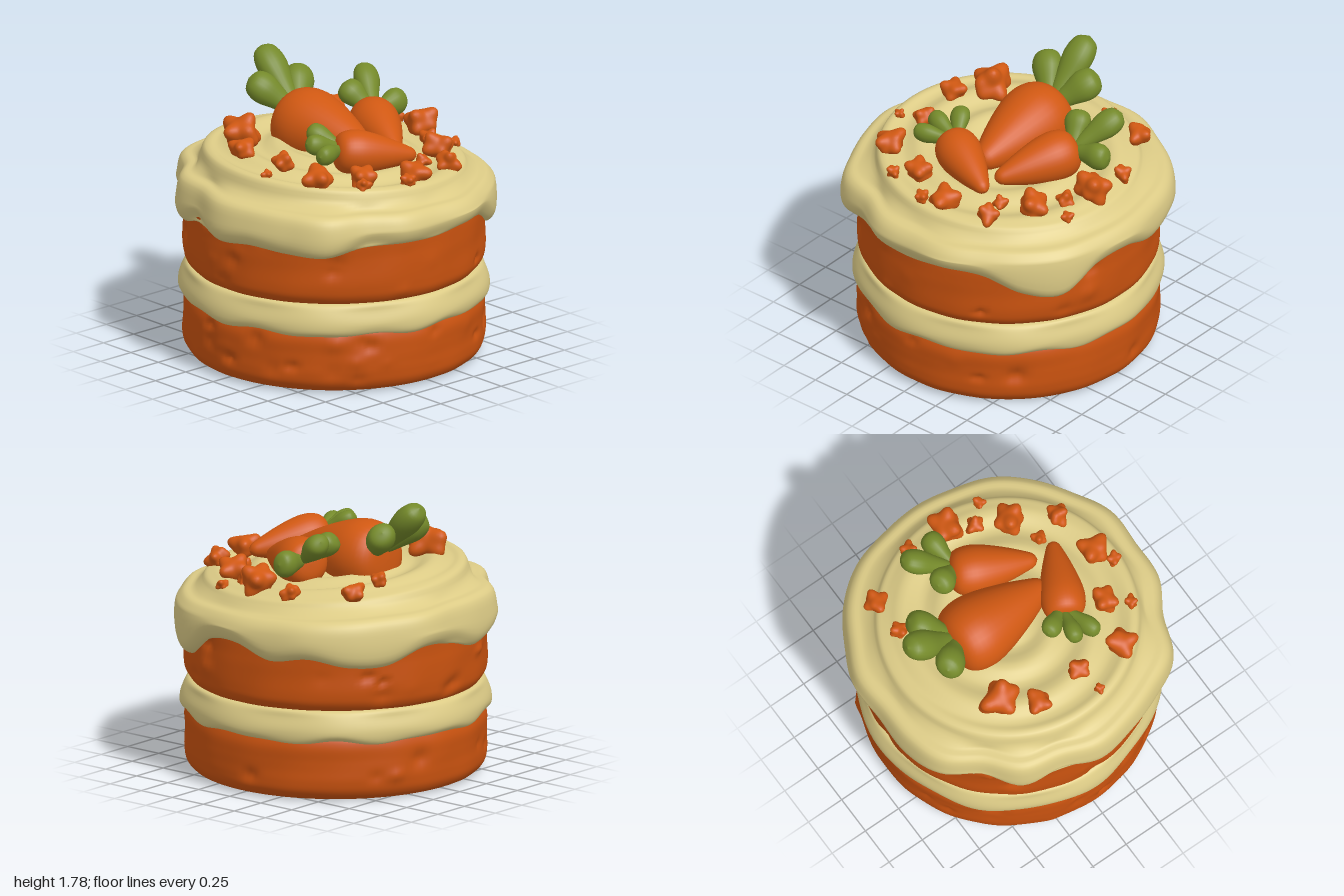
import * as THREE from 'three';
import { mergeVertices } from 'three/addons/utils/BufferGeometryUtils.js';

const mat = (name, color, side = THREE.FrontSide) => {
  const m = new THREE.MeshStandardMaterial({ color, side });
  m.name = name;
  return m;
};
const V = (x, y, z) => new THREE.Vector3(x, y, z);
const RAD = Math.PI / 180;

let seed = 7;
const rand = () => (seed = (seed * 16807) % 2147483647) / 2147483647;

// Smooth lookup in a table of values spaced evenly round the circle
function around(table, a) {
  const n = table.length;
  const t = (((a / (2 * Math.PI)) % 1) + 1) % 1 * n;
  const i = Math.floor(t), f = t - i;
  const p = k => table[(i + k + n) % n];
  return p(0) + 0.5 * f * (p(1) - p(-1) + f * (2 * p(-1) - 5 * p(0) + 4 * p(1) - p(2)
    + f * (3 * (p(0) - p(1)) + p(2) - p(-1))));
}

// Closed surface of revolution whose profile may change with the angle.
// profile(a) lists [radius, height] points; adjust(r, y, a) may move the radius.
function ringSurface(rows, cols, profile, adjust = r => r) {
  const pos = [], idx = [];
  for (let j = 0; j < cols; j++) {
    const a = j / cols * 2 * Math.PI;
    const curve = new THREE.CatmullRomCurve3(profile(a).map(([r, y]) => V(r, y, 0)));
    for (let i = 0; i <= rows; i++) {
      const p = curve.getPoint(i / rows);
      const r = Math.max(0, adjust(p.x, p.y, a));
      pos.push(r * Math.sin(a), p.y, r * Math.cos(a));
      if (i < rows) {
        const k = j * (rows + 1) + i, m = ((j + 1) % cols) * (rows + 1) + i;
        idx.push(k, m, m + 1, k, m + 1, k + 1);
      }
    }
  }
  const g = new THREE.BufferGeometry();
  g.setAttribute('position', new THREE.Float32BufferAttribute(pos, 3));
  g.setIndex(idx);
  g.computeVertexNormals();
  return g;
}

// Sponge layer with rounded rims and scattered pits and crumbs
function spongeLayer(y0, y1) {
  const spots = Array.from({ length: 34 }, () => ({
    a: rand() * 2 * Math.PI, y: y0 + 0.07 + rand() * (y1 - y0 - 0.14),
    amp: (rand() - 0.6) * 0.05, w: 0.025 + rand() * 0.03,
  }));
  const h = y1 - y0;
  const profile = () => [[0, y0], [0.5, y0], [0.84, y0], [0.885, y0 + 0.015], [0.918, y0 + 0.06],
    [0.928, y0 + 0.12], [0.928, y0 + h * 0.45], [0.928, y0 + h * 0.6], [0.926, y1 - 0.08],
    [0.9, y1 - 0.02], [0.84, y1], [0, y1]];
  return ringSurface(66, 150, profile, (r, y, a) => {
    if (r < 0.88) return r;
    let out = r + 0.004 * Math.sin(7 * a + 9 * y) * Math.sin(11 * a - 14 * y);
    for (const s of spots) {
      const da = Math.atan2(Math.sin(a - s.a), Math.cos(a - s.a)) * 0.93, dy = y - s.y;
      out += s.amp * Math.exp(-(da * da + dy * dy) / (s.w * s.w));
    }
    return out;
  });
}

// Icing outline and drip heights, every 15 degrees from the front towards the left side
const icingRadius = [0.97, 1.0, 0.98, 0.99, 1.0, 0.98, 0.985, 0.99, 1.02, 1.02, 1.0, 1.01,
  0.97, 0.99, 1.01, 0.95, 0.99, 0.95, 0.995, 0.99, 1.0, 1.03, 0.96, 0.99];
const dripHeight = [0.95, 0.97, 0.95, 0.83, 0.79, 0.94, 0.96, 0.88, 0.91, 0.86, 0.86, 0.95,
  0.93, 0.87, 0.93, 0.96, 0.89, 0.95, 0.9, 0.92, 0.9, 0.89, 0.95, 0.95];
const tilt = a => Math.cos(a - 225 * RAD);

// Height of the swirled icing top
function icingTop(r, a) {
  const swirl = Math.cos(2 * Math.PI * r / 0.25 + a);
  return 1.285 - 0.02 * r + 0.055 * tilt(a) * Math.min(1, r / 0.7)
    + 0.018 * swirl * Math.min(1, r / 0.2);
}

function icingProfile(a) {
  const R = around(icingRadius, a), d = around(dripHeight, a), s = 1.14 + 0.03 * (tilt(a) + 0.5);
  const pts = [[0.88, d + 0.03], [0.93, d - 0.005], [R - 0.025, d + 0.02], [R, d + 0.08],
    [R - 0.005, 1.06], [R - 0.025, s - 0.035], [R * 0.94, s - 0.004], [R * 0.885, s + 0.005],
    [0.825, s + 0.05], [0.8, icingTop(0.76, a) - 0.015]];
  for (let i = 19; i >= 0; i--) pts.push([i * 0.04, icingTop(i * 0.04, a)]);
  return pts;
}

// Cream between the sponges
function fillingProfile(a) {
  const w = 0.01 * Math.sin(9 * a) + 0.006 * Math.sin(14 * a + 1);
  const R = 0.945 + 0.008 * Math.sin(8 * a + 2);
  return [[0.86, 0.39 + w], [0.92, 0.37 + w], [R, 0.4 + w], [R + 0.003, 0.45], [R - 0.02, 0.52],
    [0.905, 0.562], [0.86, 0.572]];
}

// Turned shape of unit length along y
const lathe = (pts, n) => new THREE.LatheGeometry(
  new THREE.SplineCurve(pts.map(p => new THREE.Vector2(...p))).getPoints(28)
    .map(p => new THREE.Vector2(Math.max(0, p.x), p.y)), n);

// Mesh stretched from one point to another
function span(name, geo, material, from, to, width, depth = width) {
  const m = new THREE.Mesh(geo, material);
  const dir = to.clone().sub(from);
  m.name = name;
  m.position.copy(from);
  m.scale.set(width, dir.length(), depth);
  m.quaternion.setFromUnitVectors(V(0, 1, 0), dir.normalize());
  return m;
}

// Rough cube with knobbly corners
function chunkGeometry() {
  let g = new THREE.IcosahedronGeometry(1, 8);
  g.deleteAttribute('normal');
  g.deleteAttribute('uv');
  g = mergeVertices(g, 1e-4);
  const p = g.attributes.position, v = V(0, 0, 0);
  const knobs = Array.from({ length: 8 }, (_, i) => ({
    dir: V(i & 1 ? 1 : -1, i & 2 ? 1 : -1, i & 4 ? 1 : -1)
      .add(V(rand() - 0.5, rand() - 0.5, rand() - 0.5)).normalize(),
    h: 0.2 + 0.35 * rand(),
  }));
  for (let i = 0; i < p.count; i++) {
    v.fromBufferAttribute(p, i).normalize();
    let r = 0.66;
    for (const k of knobs) r += k.h * Math.exp(-(1 - v.dot(k.dir)) * 9);
    v.multiplyScalar(r);
    p.setXYZ(i, v.x, v.y, v.z);
  }
  g.computeVertexNormals();
  return g;
}

export function createModel() {
  const cake = new THREE.Group();
  cake.name = 'carrotCake';
  const sponge = mat('sponge orange', 0xc9520f);
  const cream = mat('cream icing', 0xdccb86, THREE.DoubleSide);
  const carrot = mat('carrot orange', 0xd05812);
  const leaf = mat('leaf green', 0x74892a);
  const add = (name, geo, material) => {
    const m = new THREE.Mesh(geo, material);
    m.name = name;
    cake.add(m);
    return m;
  };

  // Cake body
  add('lowerSponge', spongeLayer(0, 0.42), sponge);
  add('upperSponge', spongeLayer(0.555, 1.08), sponge);
  add('creamFilling', ringSurface(24, 140, fillingProfile), cream);
  add('icing', ringSurface(87, 168, icingProfile), cream);

  // Carrots: head, tip, thickness, leaf base, leaf tips, leaf width
  const carrotGeo = lathe([[0, 0], [0.55, 0.015], [0.88, 0.09], [1, 0.24], [0.92, 0.42],
    [0.68, 0.66], [0.42, 0.86], [0.25, 0.96], [0, 1]], 32);
  const leafGeo = lathe([[0, 0], [0.4, 0.1], [0.72, 0.4], [1, 0.7], [0.75, 0.92], [0, 1]], 20);
  const carrots = [
    ['large', V(0.01, 1.37, -0.43), V(0.02, 1.33, 0.31), 0.235, V(0.03, 1.41, -0.36),
      [V(0.05, 1.755, -0.72), V(-0.18, 1.63, -0.58), V(0.24, 1.61, -0.58)], 0.1],
    ['left', V(0.41, 1.375, -0.15), V(0.19, 1.31, 0.36), 0.155, V(0.42, 1.39, -0.1),
      [V(0.33, 1.55, -0.29), V(0.59, 1.59, -0.38), V(0.69, 1.42, -0.13)], 0.085],
    ['right', V(-0.24, 1.38, 0.27), V(0.23, 1.31, 0.5), 0.14, V(-0.18, 1.39, 0.28),
      [V(-0.3, 1.5, 0.09), V(-0.43, 1.46, 0.22), V(-0.45, 1.41, 0.37)], 0.065],
  ];
  for (const [name, head, tip, w, base, tips, lw] of carrots) {
    const g = new THREE.Group();
    g.name = name + 'Carrot';
    g.add(span('carrotRoot', carrotGeo, carrot, head, tip, w));
    for (const t of tips) g.add(span('carrotLeaf', leafGeo, leaf, base, t, lw, lw * 0.85));
    cake.add(g);
  }

  // Chopped carrot scattered on the icing: x, z, size
  const chunks = [[-0.44, -0.37, 0.125], [-0.59, -0.19, 0.085], [-0.55, 0.14, 0.075],
    [-0.72, 0.18, 0.035], [-0.56, 0.46, 0.1], [-0.26, 0.55, 0.09], [-0.36, 0.67, 0.045],
    [0.06, 0.68, 0.1], [-0.07, 0.75, 0.05], [0.37, 0.64, 0.075], [0.32, 0.46, 0.05],
    [0.52, 0.38, 0.105], [0.61, 0.19, 0.06], [0.72, 0.3, 0.042], [0.7, 0.03, 0.115],
    [0.71, -0.24, 0.06], [0.54, -0.6, 0.08], [0.3, -0.6, 0.06]];
  const shapes = [chunkGeometry(), chunkGeometry(), chunkGeometry()];
  chunks.forEach(([x, z, s], i) => {
    const m = add('carrotChunk', shapes[i % 3], carrot);
    m.position.set(x, icingTop(Math.hypot(x, z), Math.atan2(x, z)) + s * 0.45, z);
    m.rotation.set(rand() * 0.6, rand() * 6, rand() * 0.6);
    m.scale.setScalar(s);
  });
  return cake;
}
